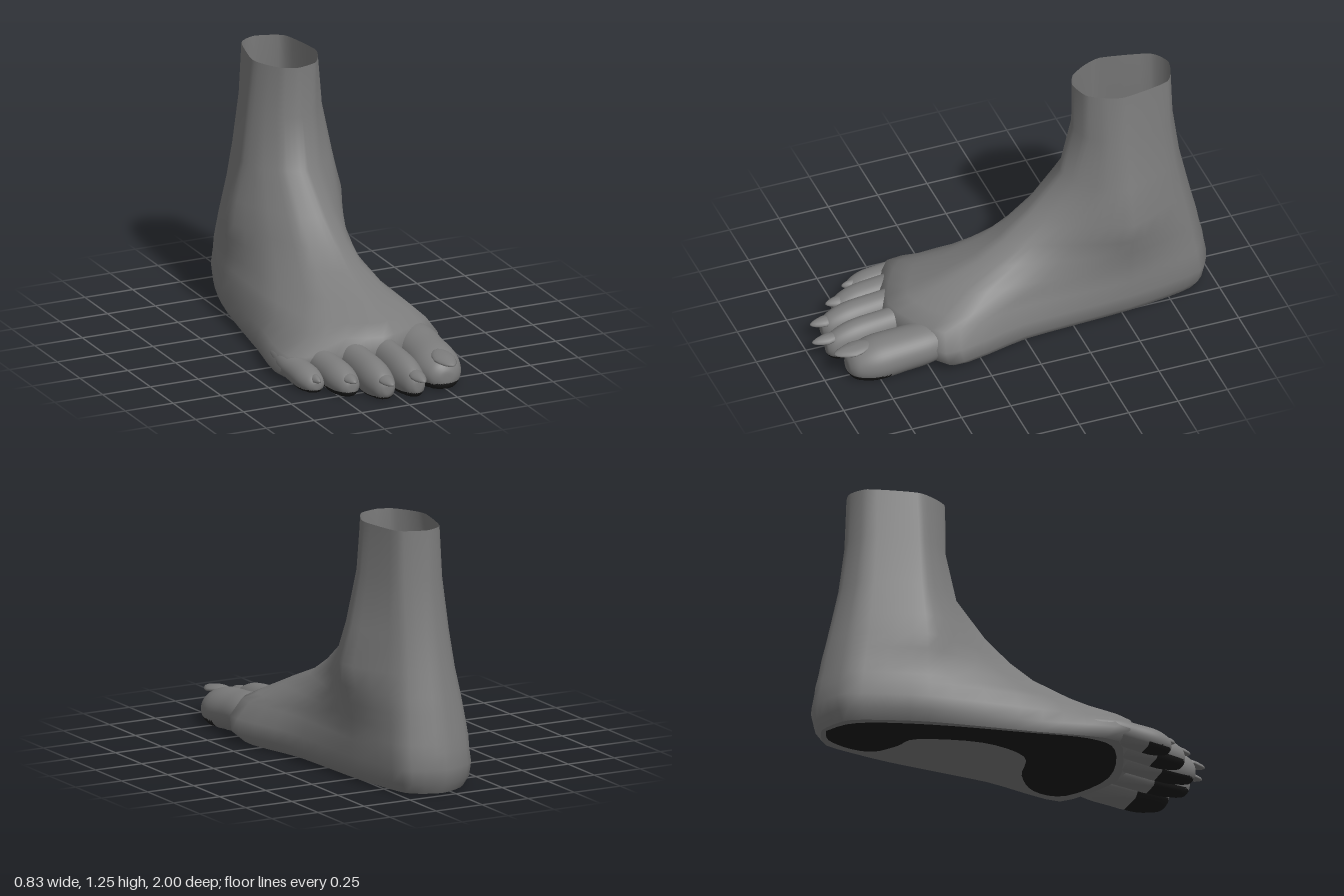
import * as THREE from 'three';

const skin = new THREE.MeshStandardMaterial({ color: 0x7c7c7c, side: THREE.DoubleSide });
skin.name = 'grey skin';
const dark = new THREE.MeshStandardMaterial({ color: 0x1c1c1c, side: THREE.DoubleSide });
dark.name = 'dark sole pads';

// Horizontal slices: y, back z, front z, then x of: heel, ankle, midfoot and ball
// on the inner side, the front, then ball, midfoot, ankle and heel on the outer side
const slices = [
  [0.00, -0.955, 0.55, 0.20, 0.26, 0.29, 0.36, 0.03, -0.37, -0.32, -0.23, -0.11],
  [0.05, -0.985, 0.60, 0.23, 0.30, 0.33, 0.41, 0.03, -0.41, -0.34, -0.26, -0.13],
  [0.12, -1.00, 0.62, 0.24, 0.305, 0.33, 0.41, 0.04, -0.37, -0.32, -0.26, -0.135],
  [0.20, -0.985, 0.60, 0.24, 0.30, 0.30, 0.355, 0.05, -0.25, -0.28, -0.25, -0.13],
  [0.24, -0.98, 0.51, 0.235, 0.30, 0.285, 0.315, 0.07, -0.19, -0.25, -0.24, -0.13],
  [0.30, -0.965, 0.37, 0.23, 0.30, 0.27, 0.24, 0.08, -0.13, -0.215, -0.23, -0.125],
  [0.38, -0.95, 0.17, 0.225, 0.315, 0.25, 0.19, 0.08, -0.09, -0.18, -0.23, -0.115],
  [0.46, -0.93, 0.04, 0.22, 0.33, 0.255, 0.17, 0.075, -0.07, -0.165, -0.23, -0.105],
  [0.57, -0.905, -0.10, 0.21, 0.35, 0.265, 0.155, 0.065, -0.055, -0.15, -0.205, -0.09],
  [0.75, -0.865, -0.27, 0.195, 0.30, 0.26, 0.15, 0.055, -0.045, -0.125, -0.16, -0.075],
  [1.00, -0.83, -0.33, 0.19, 0.25, 0.22, 0.15, 0.05, -0.03, -0.095, -0.13, -0.055],
  [1.25, -0.82, -0.33, 0.185, 0.23, 0.20, 0.15, 0.05, -0.02, -0.07, -0.10, -0.045],
];
const RING = 40;
const ANKLE_Z = -0.53;

function sliceRing([y, back, front, ...xs]) {
  const inFront = (t) => ANKLE_Z + (front - ANKLE_Z) * t;
  const side = [back + (ANKLE_Z - back) * 0.2, ANKLE_Z, inFront(0.48), inFront(0.85)];
  const zs = [...side, front, ...[...side].reverse()];
  const points = [new THREE.Vector3(0.05, y, back)];
  xs.forEach((x, i) => points.push(new THREE.Vector3(x, y, zs[i])));
  return new THREE.CatmullRomCurve3(points, true, 'catmullrom', 0.3).getPoints(RING).slice(0, RING);
}

// Loft through the slices, open at the top
function loft(rings) {
  const index = [];
  for (let i = 0; i < rings.length - 1; i++) {
    for (let j = 0; j < RING; j++) {
      const a = i * RING + j, b = i * RING + (j + 1) % RING;
      index.push(a, a + RING, b, b, a + RING, b + RING);
    }
  }
  const geo = new THREE.BufferGeometry().setFromPoints(rings.flat());
  geo.setIndex(index);
  geo.computeVertexNormals();
  return geo;
}

// Flat outline in (x, z) turned to face the ground
function groundFace(shape) {
  return new THREE.ShapeGeometry(shape, 12).rotateX(Math.PI / 2);
}

// Toe: a bulbous lathe laid along z, flattened below, with a dark pad under the tip
function toeGeometry({ base, tip, z0, z1, w, h, padTop }) {
  const profile = new THREE.SplineCurve([
    [0.45, 0], [0.9, 0.3], [0.97, 0.55], [0.98, 0.78], [0.74, 0.93], [0.38, 0.99], [0, 1],
  ].map(([r, t]) => new THREE.Vector2(r, t))).getPoints(40);
  profile.forEach((p) => { p.x = Math.max(0, p.x); });
  const geo = new THREE.LatheGeometry(profile, 48).rotateX(Math.PI / 2);
  const pos = geo.attributes.position;
  for (let i = 0; i < pos.count; i++) {
    const t = pos.getZ(i);
    const x = base + (tip - base) * t + pos.getX(i) * w / 2;
    const y = h * 0.45 + (pos.getY(i) * 0.55 + 0.36 * (0.6 - t)) * h;
    pos.setXYZ(i, x, Math.max(0, y), z0 + (z1 - z0) * t);
  }
  const top = [], pad = [], idx = geo.index.array;
  for (let i = 0; i < idx.length; i += 3) {
    const tri = [idx[i], idx[i + 1], idx[i + 2]];
    const y = tri.reduce((s, v) => s + pos.getY(v), 0) / 3;
    const z = tri.reduce((s, v) => s + pos.getZ(v), 0) / 3;
    (y < padTop && z > z0 + 0.68 * (z1 - z0) ? pad : top).push(...tri);
  }
  geo.setIndex([...top, ...pad]);
  geo.addGroup(0, top.length, 0);
  geo.addGroup(top.length, pad.length, 1);
  geo.computeVertexNormals();
  return geo;
}

// Nail: a flat ellipsoid narrowing to a point at the front
function nailGeometry(width, length) {
  const geo = new THREE.SphereGeometry(1, 16, 10);
  const pos = geo.attributes.position;
  for (let i = 0; i < pos.count; i++) {
    const z = pos.getZ(i);
    const taper = z > 0 ? 1 - 0.35 * z : 1;
    pos.setXYZ(i, pos.getX(i) * taper * width / 2,
      pos.getY(i) * 0.016 - 0.008 * pos.getX(i) ** 2, z * length / 2);
  }
  geo.computeVertexNormals();
  return geo;
}

export function createModel() {
  const group = new THREE.Group();
  const add = (name, geo, material) => {
    const mesh = new THREE.Mesh(geo, material);
    mesh.name = name;
    group.add(mesh);
    return mesh;
  };

  // Leg, ankle, heel and instep
  const rings = slices.map(sliceRing);
  add('footAndAnkle', loft(rings), skin);

  // Sole with a footprint-shaped dark pad set into it
  const print = new THREE.SplineCurve([
    [0.05, -0.935], [0.14, -0.885], [0.19, -0.76], [0.18, -0.64], [0.08, -0.56], [-0.03, -0.5],
    [-0.11, -0.2], [-0.04, 0.04], [0.16, 0.11], [0.3, 0.23], [0.29, 0.39], [0.03, 0.5],
    [-0.27, 0.41], [-0.345, 0.25], [-0.295, -0.05], [-0.205, -0.5], [-0.09, -0.83], [0.05, -0.935],
  ].map(([x, z]) => new THREE.Vector2(x, z))).getPoints(68).slice(0, 68);
  const sole = new THREE.Shape(rings[0].map((p) => new THREE.Vector2(p.x, p.z)));
  sole.holes.push(new THREE.Path(print));
  add('sole', groundFace(sole), skin);
  add('solePad', groundFace(new THREE.Shape(print)), dark);

  // Toes, from the big toe outwards; nail is width, length, height and tip z
  const toes = [
    { name: 'bigToe', base: 0.275, tip: 0.25, z0: 0.3, z1: 0.89, w: 0.235, h: 0.19, padTop: 0.032, nail: [0.11, 0.19, 0.152, 0.955] },
    { name: 'secondToe', base: 0.065, tip: 0.08, z0: 0.3, z1: 0.93, w: 0.15, h: 0.18, padTop: 0.022, nail: [0.075, 0.15, 0.11, 1.0] },
    { name: 'thirdToe', base: -0.085, tip: -0.065, z0: 0.3, z1: 0.9, w: 0.155, h: 0.17, padTop: 0.012, nail: [0.075, 0.14, 0.1, 0.955] },
    { name: 'fourthToe', base: -0.23, tip: -0.2, z0: 0.28, z1: 0.79, w: 0.15, h: 0.145, padTop: 0.025, nail: [0.07, 0.12, 0.09, 0.825] },
    { name: 'littleToe', base: -0.35, tip: -0.325, z0: 0.25, z1: 0.67, w: 0.135, h: 0.115, padTop: 0.015, nail: [0.05, 0.09, 0.07, 0.695] },
  ];
  for (const toe of toes) {
    add(toe.name, toeGeometry(toe), [skin, dark]);
    const [width, length, y, tipZ] = toe.nail;
    const nail = add(toe.name + 'Nail', nailGeometry(width, length), skin);
    nail.position.set(toe.tip, y, tipZ - length / 2);
    nail.rotation.x = 0.14;
  }
  return group;
}
